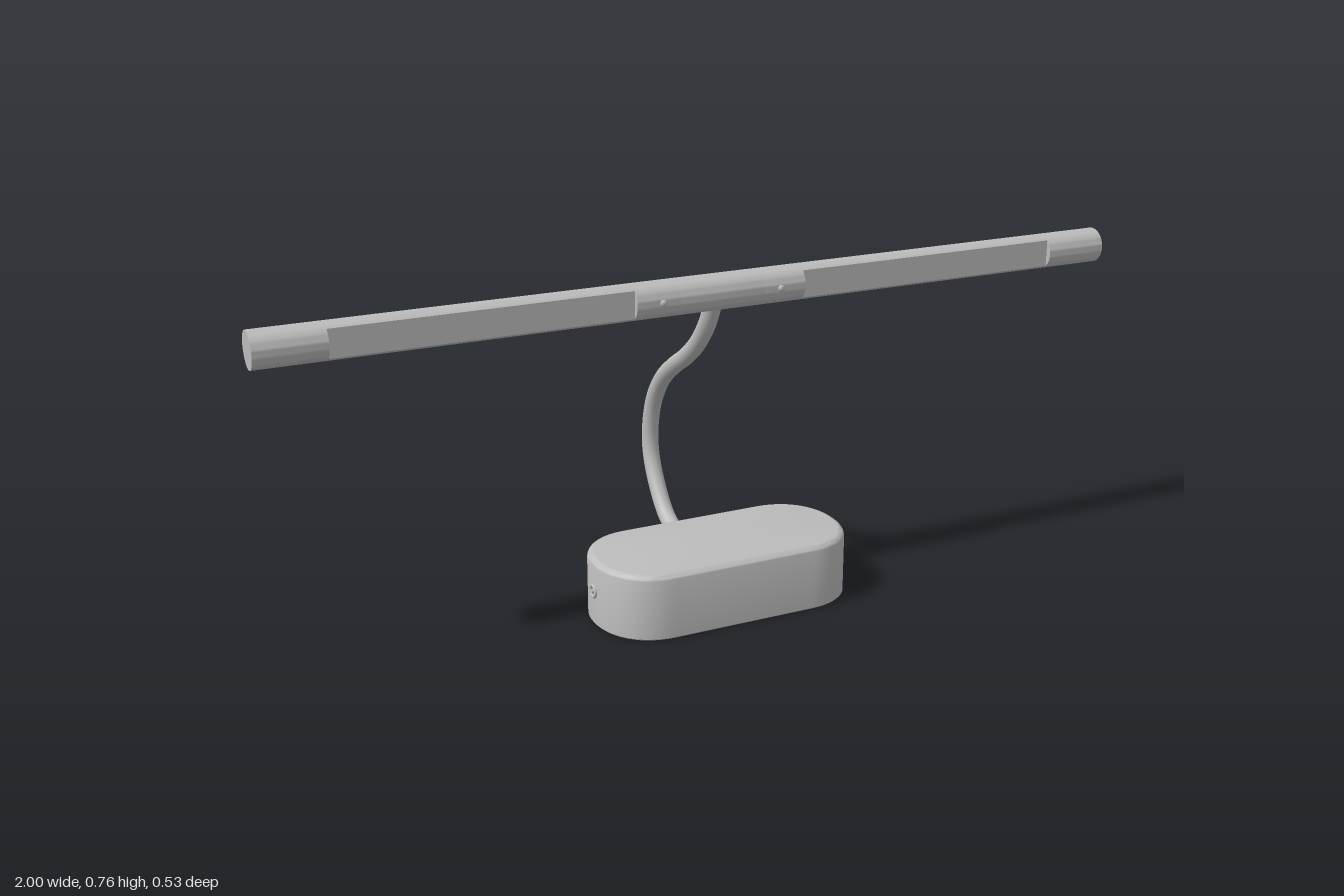
import * as THREE from 'three';
import { toCreasedNormals } from 'three/addons/utils/BufferGeometryUtils.js';

const grey = new THREE.MeshStandardMaterial({ color: 0xbcbcbc });
grey.name = 'satin grey';

const BAR_Y = 0.717, BAR_Z = 0.105, BAR_R = 0.04;
const BASE_Z = 0.1215, BASE_BACK = -0.02;

function add(parent, name, geometry, x = 0, y = 0, z = 0) {
  const mesh = new THREE.Mesh(geometry, grey);
  mesh.name = name;
  mesh.position.set(x, y, z);
  parent.add(mesh);
  return mesh;
}

// Rounded oblong outline with the given half width and half depth
function oblong(hx, hz) {
  const s = 0.17, w = hx - s, k = 0.6;
  const p = new THREE.Path();
  p.moveTo(hx, 0);
  p.bezierCurveTo(hx, hz * k, s + w * k, hz, s, hz);
  p.lineTo(-s, hz);
  p.bezierCurveTo(-s - w * k, hz, -hx, hz * k, -hx, 0);
  p.bezierCurveTo(-hx, -hz * k, -s - w * k, -hz, -s, -hz);
  p.lineTo(s, -hz);
  p.bezierCurveTo(s + w * k, -hz, hx, -hz * k, hx, 0);
  return p.getPoints(14).slice(0, -1);
}

// Base body: stacked outlines, crisp below and softly rounded above
function baseGeometry() {
  const levels = [[0, 0.003], [0.003, 0]];
  for (let i = 0; i <= 6; i++) {
    const a = (i / 6) * Math.PI / 2;
    levels.push([0.135 + 0.015 * Math.sin(a), 0.015 * (1 - Math.cos(a))]);
  }
  const pos = [], index = [];
  let n = 0;
  for (const [y, inset] of levels) {
    const ring = oblong(0.302 - inset, 0.1415 - inset);
    n = ring.length;
    for (const p of ring) pos.push(p.x, y, p.y);
  }
  const top = levels.length - 1, bottomMid = pos.length / 3, topMid = bottomMid + 1;
  pos.push(0, 0, 0, 0, 0.15, 0);
  for (let j = 0; j < n; j++) {
    const k = (j + 1) % n;
    for (let i = 0; i < top; i++) {
      const a = i * n + j, b = i * n + k, c = a + n, d = b + n;
      index.push(a, c, b, b, c, d);
    }
    index.push(bottomMid, j, k, topMid, top * n + k, top * n + j);
  }
  const g = new THREE.BufferGeometry();
  g.setAttribute('position', new THREE.Float32BufferAttribute(pos, 3));
  g.setIndex(index);
  return toCreasedNormals(g, 0.6);
}

// Length of bar from x0 to x1, optionally with a flat face cut along the front
function barGeometry(x0, x1, flat) {
  const shape = new THREE.Shape();
  const a = flat ? Math.acos(-0.65) : Math.PI;
  shape.absarc(0, 0, BAR_R, -a, a, false);
  const g = new THREE.ExtrudeGeometry(shape, { depth: x1 - x0, bevelEnabled: false, curveSegments: 24 });
  g.rotateY(Math.PI / 2);
  g.translate(x0, 0, 0);
  return toCreasedNormals(g, 0.6);
}

export function createModel() {
  const model = new THREE.Group();
  model.name = 'barLamp';

  add(model, 'base', baseGeometry(), 0, 0, BASE_Z);

  // Curved neck from the back of the base up to the bar
  const path = [
    [0, 0.08], [-0.04, 0.08], [-0.095, 0.082], [-0.15, 0.105], [-0.205, 0.167],
    [-0.237, 0.235], [-0.241, 0.295], [-0.218, 0.375], [-0.168, 0.443], [-0.1, 0.495],
    [-0.04, 0.532], [0.02, 0.58], [0.068, 0.638], [0.1, 0.7],
  ].map(([z, y]) => new THREE.Vector3(0, y, z));
  add(model, 'neck', new THREE.TubeGeometry(new THREE.CatmullRomCurve3(path), 90, 0.02, 20, false));

  // Light bar: centre sleeve and two mirrored arms with a flat lens face
  const bar = new THREE.Group();
  bar.name = 'lightBar';
  bar.position.set(0, BAR_Y, BAR_Z);
  model.add(bar);
  add(bar, 'centreSleeve', barGeometry(-0.1, 0.1, false));
  for (const side of [-1, 1]) {
    const label = side > 0 ? 'left' : 'right';
    const piece = (name, a, b, flat) =>
      add(bar, label + name, barGeometry(Math.min(side * a, side * b), Math.max(side * a, side * b), flat));
    piece('InnerCollar', 0.1, 0.2, false);
    piece('LensSection', 0.2, 0.85, true);
    piece('OuterEnd', 0.85, 1, false);
    const button = new THREE.SphereGeometry(0.008, 16, 10);
    button.scale(1, 1, 0.65);
    add(bar, label + 'Button', button, side * 0.14, 0, BAR_R);
  }

  // Round tilting switch on the back of the base
  const bezel = new THREE.CylinderGeometry(0.037, 0.037, 0.012, 32);
  bezel.rotateX(Math.PI / 2);
  add(model, 'switchBezel', bezel, 0.135, 0.068, BASE_BACK + 0.003);
  const rocker = new THREE.CylinderGeometry(0.034, 0.034, 0.02, 32);
  rocker.rotateX(Math.PI / 2);
  add(model, 'switchRocker', rocker, 0.135, 0.068, BASE_BACK - 0.003).rotation.y = -0.2;

  // Power socket on the right end of the base
  const rim = new THREE.TorusGeometry(0.013, 0.004, 10, 28);
  rim.rotateY(Math.PI / 2);
  add(model, 'socketRim', rim, -0.303, 0.08, BASE_Z);
  const pin = new THREE.CylinderGeometry(0.005, 0.005, 0.016, 16);
  pin.rotateZ(Math.PI / 2);
  add(model, 'socketPin', pin, -0.3, 0.08, BASE_Z);

  return model;
}
